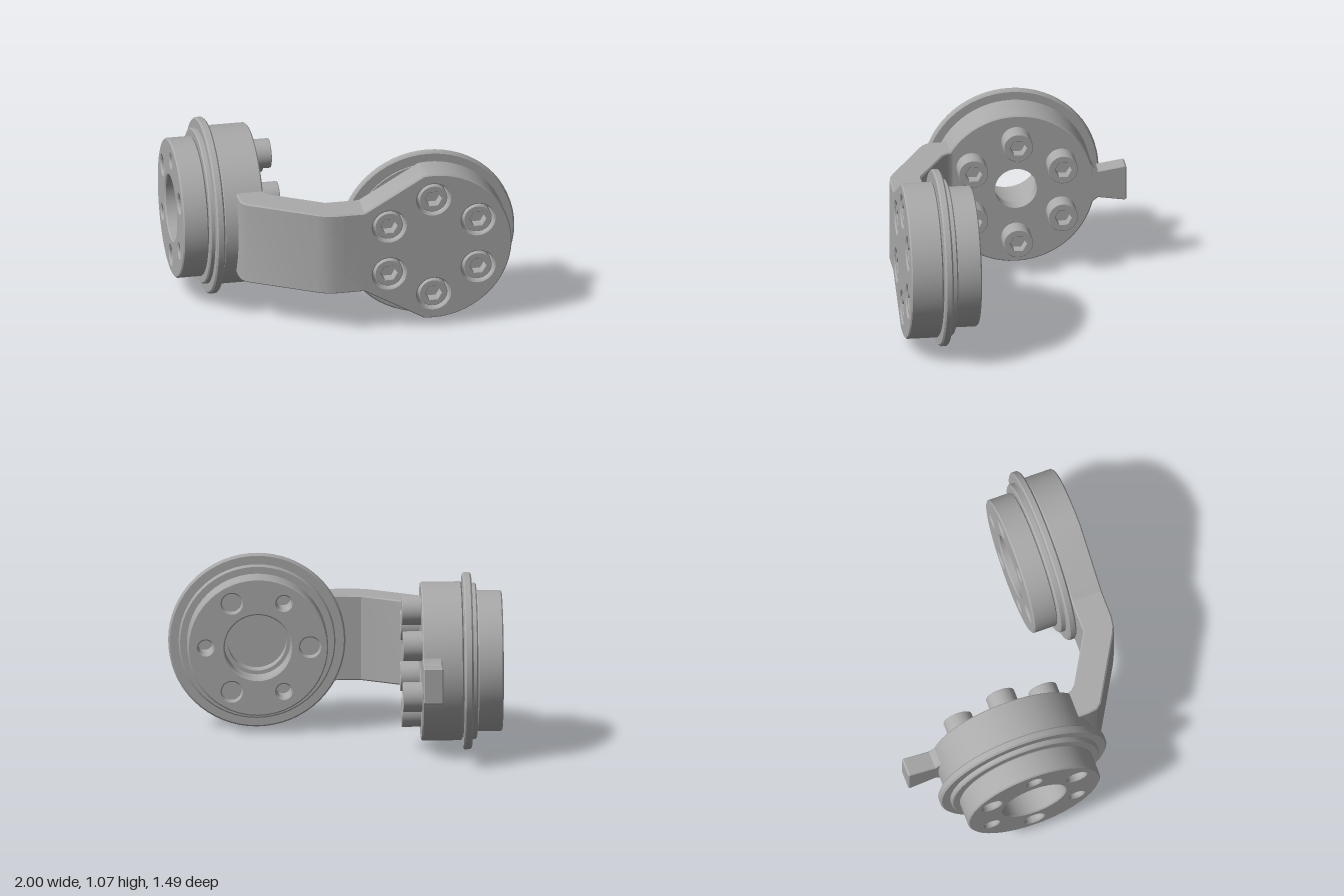
import * as THREE from 'three';
import { toCreasedNormals } from 'three/addons/utils/BufferGeometryUtils.js';

const grey = new THREE.MeshStandardMaterial({ color: 0xaaaaaa });
const BOLT_CIRCLE = 0.315;
const V = (x, y) => new THREE.Vector2(x, y);
const rad = (deg) => deg * Math.PI / 180;

function part(name, geometry) {
  const mesh = new THREE.Mesh(toCreasedNormals(geometry, 0.5), grey);
  mesh.name = name;
  return mesh;
}

function circle(r, x = 0, y = 0, Type = THREE.Path) {
  return new Type().absarc(x, y, r, 0, Math.PI * 2, false);
}

// Chamfered extrusion along +z filling exactly z0..z1
function slab(shape, z0, z1, b = 0.008) {
  const geo = new THREE.ExtrudeGeometry(shape, {
    depth: z1 - z0 - 2 * b, curveSegments: 24,
    bevelEnabled: true, bevelThickness: b, bevelSize: b, bevelOffset: -b, bevelSegments: 1,
  });
  return geo.translate(0, 0, z0 + b);
}

// Profile of [radius, z] turned around the z axis
function turned(profile) {
  const geo = new THREE.LatheGeometry(profile.map(([r, z]) => V(r, z)), 64);
  return geo.rotateX(Math.PI / 2);
}

// Points on the bolt circle
function spots(startDeg, count) {
  return Array.from({ length: count }, (_, i) => {
    const a = rad(startDeg + i * 360 / count);
    return V(BOLT_CIRCLE * Math.cos(a), BOLT_CIRCLE * Math.sin(a));
  });
}

// Cap screw with hexagonal socket
function bolt(r, z0, z1) {
  const group = new THREE.Group();
  group.name = 'bolt';
  const shape = circle(r, 0, 0, THREE.Shape);
  const hex = [0, 1, 2, 3, 4, 5].map((i) => V(0.05 * Math.cos(rad(i * 60)), 0.05 * Math.sin(rad(i * 60))));
  shape.holes.push(new THREE.Path(hex));
  group.add(part('boltHead', slab(shape, z0, z1, 0.004)));
  group.add(part('socketFloor', new THREE.CircleGeometry(0.06, 24).translate(0, 0, z1 - 0.06)));
  return group;
}

// Drilled end disc: alternating stepped and plain holes around a bore
function hub(steppedStart, depth) {
  const group = new THREE.Group();
  group.name = 'hub';
  const shape = circle(0.425, 0, 0, THREE.Shape);
  shape.holes.push(circle(0.2));
  for (const p of spots(steppedStart, 3)) {
    shape.holes.push(circle(0.06, p.x, p.y));
    const step = new THREE.RingGeometry(0.036, 0.064, 24).rotateY(Math.PI).translate(p.x, p.y, 0.045);
    group.add(part('holeStep', step));
  }
  for (const p of spots(steppedStart + 60, 3)) shape.holes.push(circle(0.045, p.x, p.y));
  group.add(part('hubDisc', slab(shape, 0, depth)));
  return group;
}

// Outer profile of the collar with its raised flange
function collarProfile(z0, f0, f1) {
  return [
    [0.178, z0], [0.465, z0], [0.473, z0 + 0.008], [0.473, f0],
    [0.525, f0], [0.535, f0 + 0.01], [0.535, f1 - 0.01], [0.525, f1], [0.462, f1],
  ];
}

// Side joint, built along +z and turned to face +x
function sideJoint() {
  const group = new THREE.Group();
  group.name = 'sideJoint';
  group.add(hub(30, 0.155));
  group.add(part('sideBody', turned([
    ...collarProfile(0.155, 0.185, 0.237),
    [0.462, 0.242], [0.47, 0.242], [0.48, 0.25], [0.48, 0.482], [0.472, 0.49],
    [0.128, 0.49], [0.128, 0.4], [0.178, 0.4], [0.178, 0.155],
  ])));

  // Flared stop tab
  const half = [[0.4, 0.17], [0.452, 0.145], [0.472, 0.108], [0.5, 0.087], [0.662, 0.112], [0.672, 0.104]];
  const outline = [
    ...half.map(([x, y]) => V(x, -y)),
    ...half.slice().reverse().map(([x, y]) => V(x, y)),
  ];
  group.add(part('stopTab', slab(new THREE.Shape(outline), 0.372, 0.489, 0.006)));

  for (const p of spots(30, 6)) {
    const screw = bolt(0.09, 0.48, 0.605);
    screw.position.set(p.x, p.y, 0);
    group.add(screw);
  }
  group.rotation.y = Math.PI / 2;
  group.position.set(-1, 0.54, -0.07);
  return group;
}

// Front joint, facing +z
function frontJoint() {
  const group = new THREE.Group();
  group.name = 'frontJoint';
  group.add(hub(60, 0.152));
  group.add(part('frontCollar', turned([
    ...collarProfile(0.15, 0.185, 0.235), [0.462, 0.245], [0.178, 0.245], [0.178, 0.15],
  ])));

  // Cover plate: disc cut by two slanted edges that narrow to the arm
  const cut = Math.acos(-0.06 / 0.48);
  const shape = new THREE.Shape();
  shape.moveTo(-0.56, -0.265).lineTo(-0.425, -0.265);
  shape.absarc(0, 0, 0.48, -cut, cut, false);
  shape.lineTo(-0.425, 0.26).lineTo(-0.56, 0.26);
  for (const p of spots(30, 6)) {
    shape.holes.push(circle(0.1, p.x, p.y));
    const screw = bolt(0.086, 0.244, 0.428);
    screw.position.set(p.x, p.y, 0);
    group.add(screw);
  }
  group.add(part('coverPlate', slab(shape, 0.24, 0.435)));
  group.position.set(0.46, 0.54, 0.31);
  return group;
}

// Bent arm linking the joints, drawn in plan as [x, z]
function arm() {
  const plan = [
    [-0.675, 0.2], [-0.675, 0.4], [-0.667, 0.455], [-0.64, 0.49], [-0.25, 0.712], [-0.2, 0.735],
    [-0.14, 0.745], [0.05, 0.745], [0.05, 0.55], [-0.17, 0.55], [-0.47, 0.38], [-0.5, 0.35],
    [-0.512, 0.31], [-0.512, 0.2],
  ];
  const shape = new THREE.Shape(plan.map(([x, z]) => V(x, -z)));
  return part('arm', slab(shape, 0.275, 0.8).rotateX(-Math.PI / 2));
}

export function createModel() {
  const model = new THREE.Group();
  model.name = 'jointBracket';
  model.add(sideJoint(), frontJoint(), arm());
  return model;
}
